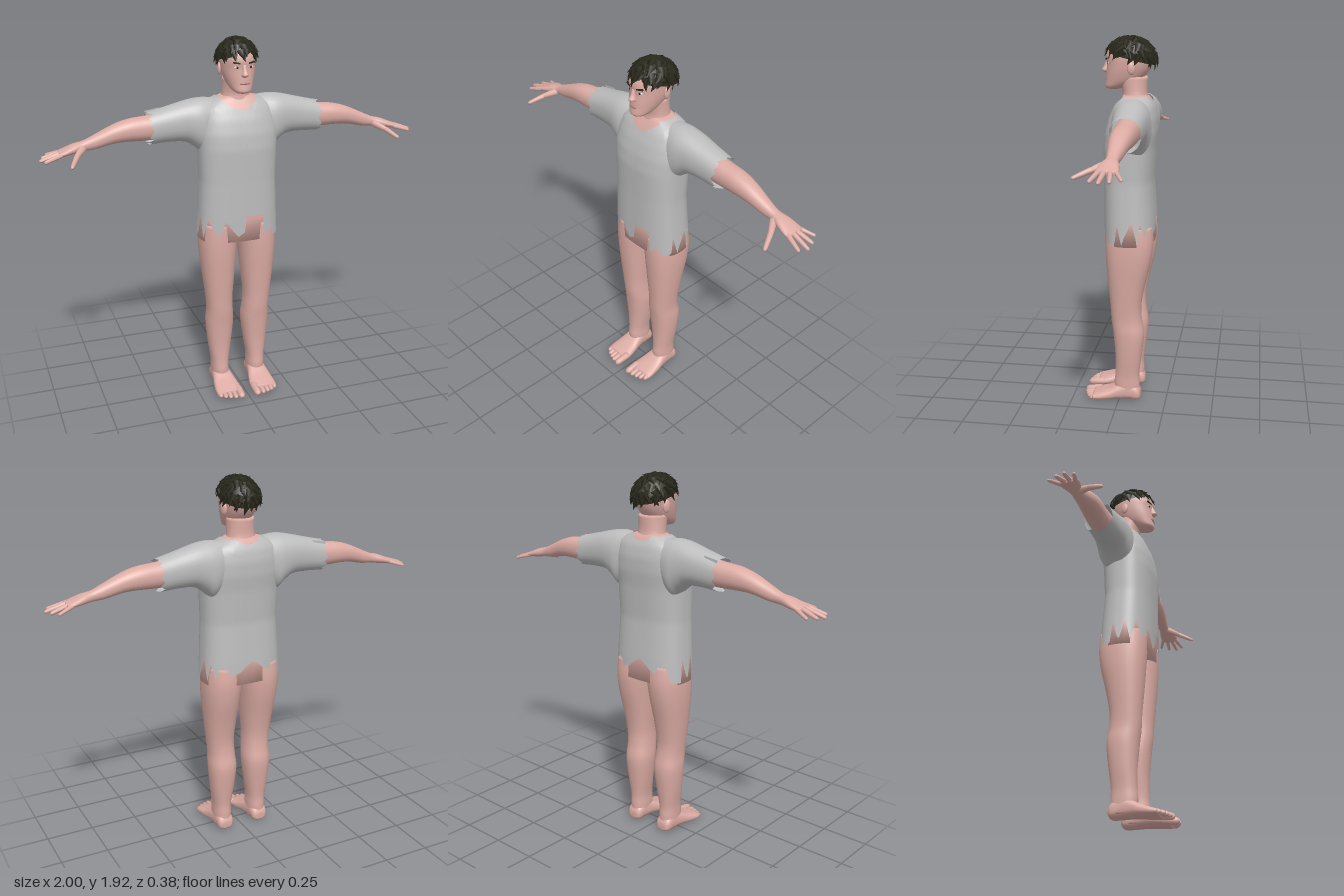
import * as THREE from 'three';
import { mergeGeometries } from 'three/addons/utils/BufferGeometryUtils.js';

const material = (name, color, side = THREE.FrontSide) => {
  const m = new THREE.MeshStandardMaterial({ color, side });
  m.name = name;
  return m;
};

// Closed superellipse ring at height w on axis 'x', 'y' or 'z'; a and b are the two cross axes
function ring(axis, [w, a0, a1, b0, b1], e = 2.2, n = 32) {
  const pts = [];
  for (let i = 0; i < n; i++) pts.push(ringPoint(axis, w, a0, a1, b0, b1, e, (i / n) * Math.PI * 2));
  return pts;
}
function ringPoint(axis, w, a0, a1, b0, b1, e, t) {
  const p = (v) => Math.sign(v) * Math.abs(v) ** (2 / e);
  const a = (a0 + a1) / 2 + ((a1 - a0) / 2) * p(Math.cos(t));
  const b = (b0 + b1) / 2 + ((b1 - b0) / 2) * p(Math.sin(t));
  if (axis === 'x') return [w, a, b];
  return axis === 'y' ? [b, w, a] : [a, b, w];
}

// Skin a list of rings, with optional end caps
function loft(rings, capped = true) {
  const n = rings[0].length, pos = rings.flat(2), idx = [], last = rings.length - 1;
  for (let r = 0; r < last; r++) for (let i = 0; i < n; i++) {
    const j = (i + 1) % n, a = r * n + i, b = r * n + j;
    idx.push(a, b, b + n, a, b + n, a + n);
  }
  if (capped) [0, last].forEach((r) => {
    const c = pos.length / 3;
    pos.push(...[0, 1, 2].map((k) => rings[r].reduce((s, p) => s + p[k], 0) / n));
    for (let i = 0; i < n; i++) {
      const a = r * n + i, b = r * n + ((i + 1) % n);
      idx.push(c, r ? a : b, r ? b : a);
    }
  });
  const g = new THREE.BufferGeometry();
  g.setAttribute('position', new THREE.Float32BufferAttribute(pos, 3));
  g.setIndex(idx);
  g.computeVertexNormals();
  return g;
}

// Catmull-Rom smoothing between sections
function smooth(s, k = 4) {
  const out = [], at = (i) => s[Math.min(Math.max(i, 0), s.length - 1)];
  for (let i = 0; i < s.length - 1; i++) for (let q = 0; q < k; q++) {
    const t = q / k;
    out.push(s[i].map((p1, c) => {
      const p0 = at(i - 1)[c], p2 = at(i + 1)[c], p3 = at(i + 2)[c];
      return p1 + 0.5 * t * (p2 - p0 + t * (2 * p0 - 5 * p1 + 4 * p2 - p3 + t * (3 * (p1 - p2) + p3 - p0)));
    }));
  }
  out.push(s[s.length - 1]);
  return out;
}
const tube = (axis, sections, e) => loft(smooth(sections).map((s) => ring(axis, s, e)));
// Sections symmetric in x: [y, half width, back z, front z]
const symmetric = (list) => list.map(([y, h, z0, z1]) => [y, z0, z1, -h, h]);

// Linear lookup in rows sorted by their first number
function lookup(rows, v) {
  let i = 0;
  while (i < rows.length - 2 && v > rows[i + 1][0]) i++;
  const a = rows[i], b = rows[i + 1];
  const t = Math.min(Math.max((v - a[0]) / (b[0] - a[0]), 0), 1);
  return a.map((x, c) => x + (b[c] - x) * t);
}

// Tapered round-ended digit from a to b
function digit(a, b, r0, r1) {
  const A = new THREE.Vector3(...a), d = new THREE.Vector3(...b).sub(A), L = d.length();
  const prof = [[0, -r0], [r0 * 0.8, -r0 * 0.6], [r0, 0], [(r0 + r1) / 2, L * 0.5], [r1, L - r1], [r1 * 0.7, L - r1 * 0.3], [0, L]];
  const g = new THREE.LatheGeometry(prof.map((p) => new THREE.Vector2(...p)), 10);
  g.applyQuaternion(new THREE.Quaternion().setFromUnitVectors(new THREE.Vector3(0, 1, 0), d.normalize()));
  return g.translate(...a);
}
function mirrored(geo) {
  const g = geo.clone().scale(-1, 1, 1), ix = g.index.array;
  for (let i = 0; i < ix.length; i += 3) [ix[i], ix[i + 1]] = [ix[i + 1], ix[i]];
  g.computeVertexNormals();
  return g;
}
const blob = (x, y, z, sx, sy, sz, ry = 0) =>
  new THREE.SphereGeometry(1, 16, 12).scale(sx, sy, sz).rotateY(ry).translate(x, y, z);

export function createModel() {
  const group = new THREE.Group();
  const skin = material('skin', 0xdcaca4);
  const cloth = material('grey cloth', 0xbdbdbd, THREE.DoubleSide);
  const hairMat = material('dark hair', 0x2b2b1e, THREE.DoubleSide);
  const white = material('eye white', 0xe4dedb);
  const dark = material('iris', 0x2a1c18);
  const lip = material('lips', 0xb67f78);
  const add = (name, geo, mat) => {
    const m = new THREE.Mesh(geo, mat);
    m.name = name;
    group.add(m);
  };
  const pair = (name, geo, mat) => {
    add('left' + name, geo, mat);
    add('right' + name, mirrored(geo), mat);
  };

  // Torso profile shared by the body and the shirt: y, half width, back z, front z
  const torso = [[0.88, 0.217, -0.185, 0.083], [1.0, 0.21, -0.18, 0.085], [1.2, 0.2, -0.166, 0.085],
    [1.37, 0.205, -0.175, 0.088], [1.45, 0.21, -0.185, 0.079], [1.52, 0.2, -0.185, 0.06],
    [1.58, 0.185, -0.172, 0.033], [1.615, 0.13, -0.15, 0.006], [1.63, 0.085, -0.135, 0]];
  add('torso', loft(symmetric(torso.map(([y, h, b, f]) => [y, h - 0.008, b + 0.008, f - 0.008])).map((s) => ring('y', s, 2.6, 48))), skin);
  add('neck', tube('y', symmetric([[1.56, 0.09, -0.14, 0], [1.61, 0.077, -0.135, 0], [1.65, 0.07, -0.128, -0.002], [1.72, 0.068, -0.13, 0.02]])), skin);

  // Shirt body with torn hem and notched neckline; [angle from the front, y]
  const hem = [[0, 0.93], [0.5, 1.02], [24, 1.02], [24.5, 0.9], [58, 0.89], [70, 0.9], [76, 1.0], [84, 0.89],
    [97, 1.02], [108, 0.9], [116, 1.0], [130, 0.91], [142, 0.98], [155, 0.93], [170, 0.95], [182, 1.0],
    [196, 0.95], [222, 0.92], [240, 0.89], [258, 0.89], [262, 1.02], [271, 0.9], [280, 1.02], [292, 0.9],
    [304, 1.01], [327, 0.9], [338, 1.0], [355, 0.91], [360, 0.93]];
  const neckline = [[0, 1.565], [22, 1.6], [50, 1.625], [150, 1.625], [180, 1.6], [210, 1.625], [310, 1.625], [338, 1.6], [360, 1.565]];
  const rows = [];
  for (let r = 0; r <= 36; r++) {
    const row = [];
    for (let deg = 0; deg < 360; deg += 1.5) {
      const low = lookup(hem, deg)[1], high = lookup(neckline, deg)[1];
      const [y, h, b, f] = lookup(torso, low + ((high - low) * r) / 36);
      row.push(ringPoint('y', y, b, f, -h, h, 2.6, (deg * Math.PI) / 180));
    }
    rows.push(row);
  }
  add('shirtBody', loft(rows, false), cloth);

  // Sleeves with ragged cuffs: x, bottom y, top y, back z, front z
  const sleeve = smooth([[0.1, 1.42, 1.615, -0.155, 0.0], [0.17, 1.34, 1.622, -0.172, 0.022], [0.215, 1.37, 1.62, -0.17, 0.022],
    [0.27, 1.405, 1.61, -0.165, 0.012], [0.36, 1.41, 1.587, -0.158, 0], [0.45, 1.405, 1.565, -0.155, -0.006]]).map((s) => ring('x', s, 2.3));
  sleeve[sleeve.length - 1].forEach((p, i) => { p[0] += [0.012, 0, -0.014, 0.002, 0.01, -0.008][i % 6]; });
  pair('Sleeve', loft(sleeve, false), cloth);
  // Loose torn flap on the right cuff
  const flap = new THREE.Shape([[-0.38, 1.575], [-0.46, 1.562], [-0.45, 1.54], [-0.39, 1.535]].map((p) => new THREE.Vector2(...p)));
  add('sleeveFlap', new THREE.ShapeGeometry(flap).translate(0, 0, -0.13), cloth);

  // Arms and hands
  pair('Arm', tube('x', [[0.2, 1.43, 1.58, -0.15, -0.02], [0.45, 1.425, 1.55, -0.14, -0.025], [0.55, 1.427, 1.54, -0.135, -0.025],
    [0.63, 1.424, 1.518, -0.125, -0.03], [0.72, 1.405, 1.478, -0.11, -0.04], [0.78, 1.4, 1.452, -0.103, -0.045],
    [0.83, 1.392, 1.44, -0.114, -0.03], [0.88, 1.387, 1.42, -0.12, -0.02], [0.905, 1.387, 1.41, -0.115, -0.024]]), skin);
  const fingers = [[[0.88, 1.4, -0.107], [0.96, 1.378, -0.143], 0.011], [[0.89, 1.402, -0.085], [0.986, 1.374, -0.096], 0.013],
    [[0.89, 1.403, -0.06], [1.0, 1.371, -0.05], 0.013], [[0.885, 1.401, -0.036], [0.98, 1.373, -0.008], 0.013],
    [[0.79, 1.415, -0.05], [0.835, 1.39, 0.02], 0.019], [[0.828, 1.394, 0.01], [0.865, 1.362, 0.088], 0.014]];
  pair('Fingers', mergeGeometries(fingers.map(([a, b, r]) => digit(a, b, r, r * 0.7))), skin);

  // Legs: y, back z, front z, inner x, outer x
  pair('Leg', tube('y', [[0.03, -0.108, 0.015, 0.058, 0.148], [0.1, -0.11, 0.025, 0.056, 0.15], [0.16, -0.108, 0.02, 0.055, 0.152],
    [0.26, -0.12, 0.02, 0.04, 0.165], [0.38, -0.132, 0.03, 0.027, 0.175], [0.46, -0.12, 0.04, 0.032, 0.172],
    [0.54, -0.117, 0.045, 0.035, 0.178], [0.65, -0.135, 0.055, 0.026, 0.19], [0.78, -0.165, 0.066, 0.014, 0.203],
    [0.88, -0.177, 0.071, 0.005, 0.206], [0.97, -0.17, 0.07, 0, 0.2]], 2.3), skin);
  // Feet and toes
  pair('Foot', tube('z', [[-0.116, 0.075, 0.13, 0.025, 0.06], [-0.1, 0.06, 0.147, 0.012, 0.09], [-0.05, 0.056, 0.15, 0.01, 0.115],
    [0, 0.048, 0.156, 0.012, 0.1], [0.05, 0.036, 0.165, 0.01, 0.073], [0.1, 0.028, 0.17, 0.008, 0.055], [0.138, 0.03, 0.168, 0.01, 0.042]], 2.5), skin);
  const toes = [[0.046, 0.192, 0.02], [0.079, 0.188, 0.014], [0.106, 0.18, 0.0135], [0.131, 0.17, 0.013], [0.154, 0.155, 0.0125]];
  pair('Toes', mergeGeometries(toes.map(([x, z, r]) => digit([x, 0.032, 0.11], [x, 0.022, z], r, r * 0.9))), skin);

  // Head and face
  add('head', tube('y', symmetric([[1.658, 0.03, 0.01, 0.076], [1.67, 0.047, -0.02, 0.086], [1.7, 0.065, -0.09, 0.083],
    [1.74, 0.078, -0.13, 0.08], [1.78, 0.085, -0.152, 0.077], [1.82, 0.087, -0.162, 0.08], [1.86, 0.082, -0.152, 0.066],
    [1.89, 0.062, -0.12, 0.035], [1.905, 0.03, -0.08, 0]])), skin);
  add('nose', tube('y', symmetric([[1.738, 0.01, 0.06, 0.084], [1.75, 0.018, 0.058, 0.104], [1.77, 0.012, 0.058, 0.094], [1.8, 0.009, 0.058, 0.081]])), skin);
  add('mouth', blob(0, 1.708, 0.081, 0.026, 0.006, 0.005), lip);
  pair('Ear', blob(0.087, 1.765, -0.058, 0.011, 0.032, 0.021, 0.25), skin);
  pair('Eye', blob(0.036, 1.787, 0.067, 0.015, 0.006, 0.004, 0.3), white);
  pair('Iris', blob(0.035, 1.787, 0.07, 0.006, 0.006, 0.003, 0.3), dark);
  pair('Eyebrow', new THREE.BoxGeometry(0.036, 0.007, 0.008).rotateZ(0.12).rotateY(0.32).translate(0.038, 1.809, 0.071), hairMat);

  // Hair: tilted cap covered in flat pointed tufts
  const place = (g) => g.rotateX(-0.25).translate(0, 1.815, -0.05);
  add('hairCap', place(new THREE.SphereGeometry(1, 28, 12, 0, Math.PI * 2, 0, Math.PI * 0.52).scale(0.1, 0.1, 0.127)), hairMat);
  let seed = 7;
  const rand = () => (seed = (seed * 16807) % 2147483647) / 2147483647;
  const scalp = (th, ph, k) => new THREE.Vector3(0.1 * Math.sin(th) * Math.sin(ph), 0.1 * Math.cos(th), 0.127 * Math.sin(th) * Math.cos(ph)).multiplyScalar(k);
  const tufts = [];
  [[0.1, 6], [0.4, 10], [0.75, 15], [1.05, 18], [1.3, 20]].forEach(([th, count]) => {
    for (let i = 0; i < count; i++) {
      const ph = ((i + rand() * 0.7) / count) * Math.PI * 2;
      const a = scalp(th, ph, 1), b = scalp(th + 0.42 + rand() * 0.2, ph + (rand() - 0.5) * 0.5, 1.07 + rand() * 0.08);
      const y = b.clone().sub(a), len = y.length(), mid = a.clone().add(b).multiplyScalar(0.5);
      y.normalize();
      const x = y.clone().cross(a).normalize(), z = x.clone().cross(y);
      tufts.push(new THREE.ConeGeometry(0.024, len, 4).scale(1, 1, 0.35)
        .applyMatrix4(new THREE.Matrix4().makeBasis(x, y, z).setPosition(mid)));
    }
  });
  add('hairTufts', place(mergeGeometries(tufts)), hairMat);
  return group;
}
